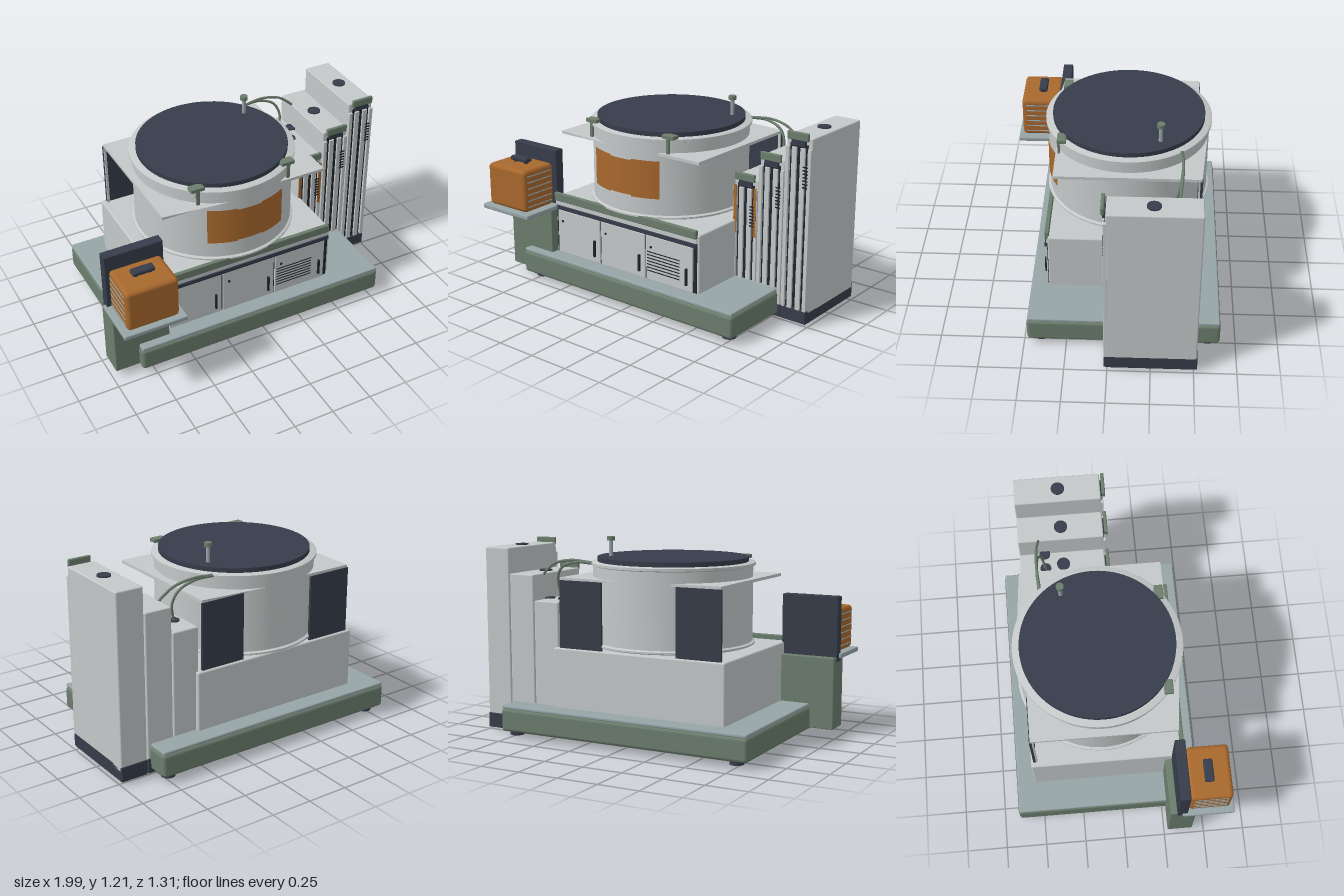
import * as THREE from 'three';
import { toCreasedNormals } from 'three/addons/utils/BufferGeometryUtils.js';
import { RoundedBoxGeometry } from 'three/addons/geometries/RoundedBoxGeometry.js';

const mat = (name, color, extra = {}) => Object.assign(new THREE.MeshStandardMaterial({ color, ...extra }), { name });

export function createModel() {
  const root = new THREE.Group();
  root.name = 'processingStation';
  const light = mat('light grey paint', 0xc4c8c8);
  const green = mat('sage green', 0x6b7d6d);
  const deck = mat('blue grey deck', 0x97a5a7);
  const dark = mat('dark slate', 0x363c4a);
  const black = mat('black trim', 0x20252e);
  const orange = mat('burnt orange', 0xa8682d);
  const grey = mat('underside grey', 0x8e9292);

  const add = (name, geo, m, x = 0, y = 0, z = 0, parent = root) => {
    const mesh = new THREE.Mesh(geo, m);
    mesh.name = name;
    mesh.position.set(x, y, z);
    parent.add(mesh);
    return mesh;
  };
  // Box given by its limits, with optional rounded edges
  const box = (name, m, x0, x1, y0, y1, z0, z1, r = 0, parent = root) => {
    const s = [x1 - x0, y1 - y0, z1 - z0];
    const geo = r ? new RoundedBoxGeometry(...s, 2, r) : new THREE.BoxGeometry(...s);
    return add(name, geo, m, (x0 + x1) / 2, (y0 + y1) / 2, (z0 + z1) / 2, parent);
  };
  const disc = (name, m, r, x, y0, y1, z, parent = root) =>
    add(name, new THREE.CylinderGeometry(r, r, y1 - y0, 24), m, x, (y0 + y1) / 2, z, parent);

  // Platform with deck and feet
  box('platform', green, -0.83, 0.8, 0.04, 0.18, -0.655, 0.48, 0.02);
  box('platformDeck', deck, -0.825, 0.795, 0.178, 0.2, -0.65, 0.475, 0.008);
  for (const x of [-0.74, 0.73]) for (const z of [-0.585, 0.4]) disc('platformFoot', dark, 0.042, x, 0.015, 0.045, z);

  // Cabinet and its floor
  box('cabinet', light, -0.64, 0.49, 0.19, 0.56, -0.54, 0.37, 0.01);
  box('cabinetPlinth', black, -0.63, 0.48, 0.018, 0.05, -0.55, 0.38);
  box('floorPanel', grey, -0.6, 0.45, 0.014, 0.02, -0.52, 0.35);
  for (const x of [-0.53, 0.38]) for (const z of [-0.45, 0.27])
    for (const d of [0, 0.07]) disc('floorFoot', black, 0.026, x - Math.sign(x) * d, 0.002, 0.02, z);
  box('doorSurround', black, -0.625, 0.475, 0.2, 0.485, 0.365, 0.374);
  box('frontBand', dark, -0.63, 0.475, 0.485, 0.51, 0.365, 0.388);
  box('frontLedge', light, -0.63, 0.475, 0.51, 0.54, 0.365, 0.38);
  box('frontRail', green, -0.635, 0.475, 0.538, 0.59, 0.362, 0.388, 0.006);

  // Three doors with handles and locks
  [-0.61, -0.253, 0.103].forEach((x, i) => {
    const door = new THREE.Group();
    door.name = 'door' + (i + 1);
    root.add(door);
    box('doorPanel', light, x, x + 0.347, 0.2, 0.482, 0.37, 0.384, 0.004, door);
    box('doorHandle', black, x + 0.302, x + 0.313, 0.24, 0.345, 0.383, 0.398, 0, door);
    add('doorLock', new THREE.CylinderGeometry(0.008, 0.008, 0.006, 12).rotateX(Math.PI / 2), black, x + 0.04, 0.412, 0.385, door);
    if (i === 2) for (let k = 0; k < 7; k++)
      box('ventSlit', black, x + 0.01, x + 0.255, 0.257 + k * 0.02, 0.263 + k * 0.02, 0.382, 0.386, 0, door);
  });

  // Drum with rolled rims, dark lid and orange label plate
  const CX = -0.08, CZ = -0.09;
  const profile = [[0, 0.575], [0.485, 0.575], [0.495, 0.58], [0.495, 0.59], [0.48, 0.597], [0.48, 1.045],
    [0.495, 1.05], [0.495, 1.065], [0.485, 1.07], [0, 1.07]].map(p => new THREE.Vector2(...p));
  add('drum', toCreasedNormals(new THREE.LatheGeometry(profile, 72), 0.5), light, CX, 0, CZ);
  add('drumLid', new THREE.CylinderGeometry(0.453, 0.453, 0.03, 72), dark, CX, 1.082, CZ);
  disc('drumPivot', black, 0.3, CX, 0.555, 0.58, CZ);
  const curved = (name, a, len, h, y) => add(name,
    new THREE.CylinderGeometry(0.487, 0.487, h, 24, 1, true, a, len), orange, CX, y, CZ);
  curved('drumPlate', -0.53, 1.06, 0.215, 0.8155);
  for (const s of [-1, 1]) for (const y of [0.927, 0.704])
    curved('drumPlateEdge', s > 0 ? 0.16 : -0.53, 0.37, 0.008, y);

  // Square collar around the drum
  const collar = new THREE.Shape([[-0.605, -0.33], [0.45, -0.33], [0.45, 0.52], [-0.605, 0.52]].map(p => new THREE.Vector2(...p)));
  collar.holes.push(new THREE.Path().absarc(CX, -CZ, 0.476, 0, Math.PI * 2, true));
  add('collar', new THREE.ExtrudeGeometry(collar, { depth: 0.018, bevelEnabled: false, curveSegments: 40 }).rotateX(-Math.PI / 2), light, 0, 0.963, 0);
  // Mirrored back guards and front clamps
  for (const s of [-1, 1]) {
    const xs = (a, b) => [CX + s * a, CX + s * b].sort((p, q) => p - q);
    box('backGuard', dark, ...xs(0.245, 0.53), 0.555, 0.965, -0.525, -0.51);
    box('guardEdge', light, ...xs(0.513, 0.528), 0.56, 0.963, -0.51, -0.5);
    box('clampPost', green, ...xs(0.283, 0.303), 0.975, 1.08, 0.305, 0.318);
    box('clampHead', green, ...xs(0.25, 0.335), 1.068, 1.092, 0.265, 0.318, 0.004);
  }
  // Lid knob
  disc('knobStem', deck, 0.012, 0.24, 1.09, 1.195, -0.28);
  disc('knobCap', green, 0.023, 0.24, 1.19, 1.215, -0.28);

  // Three stepped towers
  const towers = [[0.47, 0.83, 'short'], [0.646, 0.985, 'middle'], [0.822, 1.14, 'tall']];
  for (const [x0, top, label] of towers) {
    const g = new THREE.Group();
    g.name = label + 'Tower';
    root.add(g);
    const x1 = x0 + 0.17, c = x0 + 0.085;
    box('towerBody', light, x0, x1, 0.075, top, -0.515, 0.005, 0.008, g);
    box('towerBase', dark, x0, x1, 0.018, 0.11, -0.52, 0.012, 0.006, g);
    box('towerBaseFront', dark, x0, x1, 0.025, 0.1, -0.01, 0.018, 0, g);
    for (const z of [-0.43, -0.08]) disc('towerFoot', black, 0.035, c, 0.006, 0.02, z, g);
    box('frontRecess', black, c - 0.058, c + 0.058, 0.1, top - 0.04, 0, 0.009, 0, g);
    for (const [d, w] of [[-0.073, 0.012], [-0.028, 0.016], [0.028, 0.016], [0.073, 0.012]])
      box('frontRail', light, c + d - w, c + d + w, 0.1, top - 0.06, 0, 0.02, 0.003, g);
    box('railHead', dark, c - 0.045, c + 0.045, top - 0.05, top - 0.015, 0.003, 0.022, 0, g);
    for (let k = 0; k < 7; k++) {
      const y = top - 0.29 + k * 0.02;
      box('towerVent', black, c + 0.035, c + 0.068, y, y + 0.008, 0.018, 0.0225, 0, g);
    }
    if (label === 'short') for (const d of [-0.07, 0.07])
      box('orangeStrip', orange, c + d - 0.01, c + d + 0.01, 0.48, 0.78, 0.018, 0.0215, 0, g);
    box('towerHandle', green, c - 0.07, c + 0.07, top - 0.015, top + 0.032, 0.012, 0.032, 0.006, g);
    disc('topButton', dark, 0.04, c, top - 0.005, top + 0.008, -0.25, g);
  }
  for (const x of [0.533, 0.628]) disc('hosePort', dark, 0.033, x, 0.825, 0.838, -0.36);

  // Hoses from the drum to the towers
  const hose = pts => add('hose', new THREE.TubeGeometry(
    new THREE.CatmullRomCurve3(pts.map(p => new THREE.Vector3(...p))), 32, 0.008, 8), green);
  hose([[0.28, 1.06, -0.405], [0.42, 1.062, -0.41], [0.52, 1.02, -0.4], [0.555, 0.94, -0.38], [0.533, 0.83, -0.36]]);
  hose([[0.3, 1.065, -0.4], [0.44, 1.075, -0.41], [0.56, 1.05, -0.405], [0.63, 1.0, -0.395], [0.665, 0.965, -0.39]]);

  // Side pillar, shelf and orange canister box
  box('sidePillar', green, -0.98, -0.63, 0.05, 0.49, 0.27, 0.425, 0.006);
  box('sideShelf', deck, -1, -0.61, 0.48, 0.51, 0.34, 0.652, 0.008);
  box('shelfBackPlate', dark, -0.985, -0.625, 0.46, 0.858, 0.31, 0.372, 0.006);
  box('orangeCase', orange, -0.967, -0.648, 0.51, 0.777, 0.375, 0.626, 0.025);
  for (const x of [-0.967, -0.648]) for (let k = 0; k < 6; k++)
    box('caseGroove', deck, x - 0.003, x + 0.003, 0.54 + k * 0.039, 0.547 + k * 0.039, 0.4, 0.6);
  box('caseHandle', dark, -0.875, -0.74, 0.788, 0.816, 0.465, 0.52, 0.01);
  for (const x of [-0.85, -0.765]) box('handleLeg', dark, x - 0.008, x + 0.008, 0.77, 0.795, 0.48, 0.505);

  return root;
}
